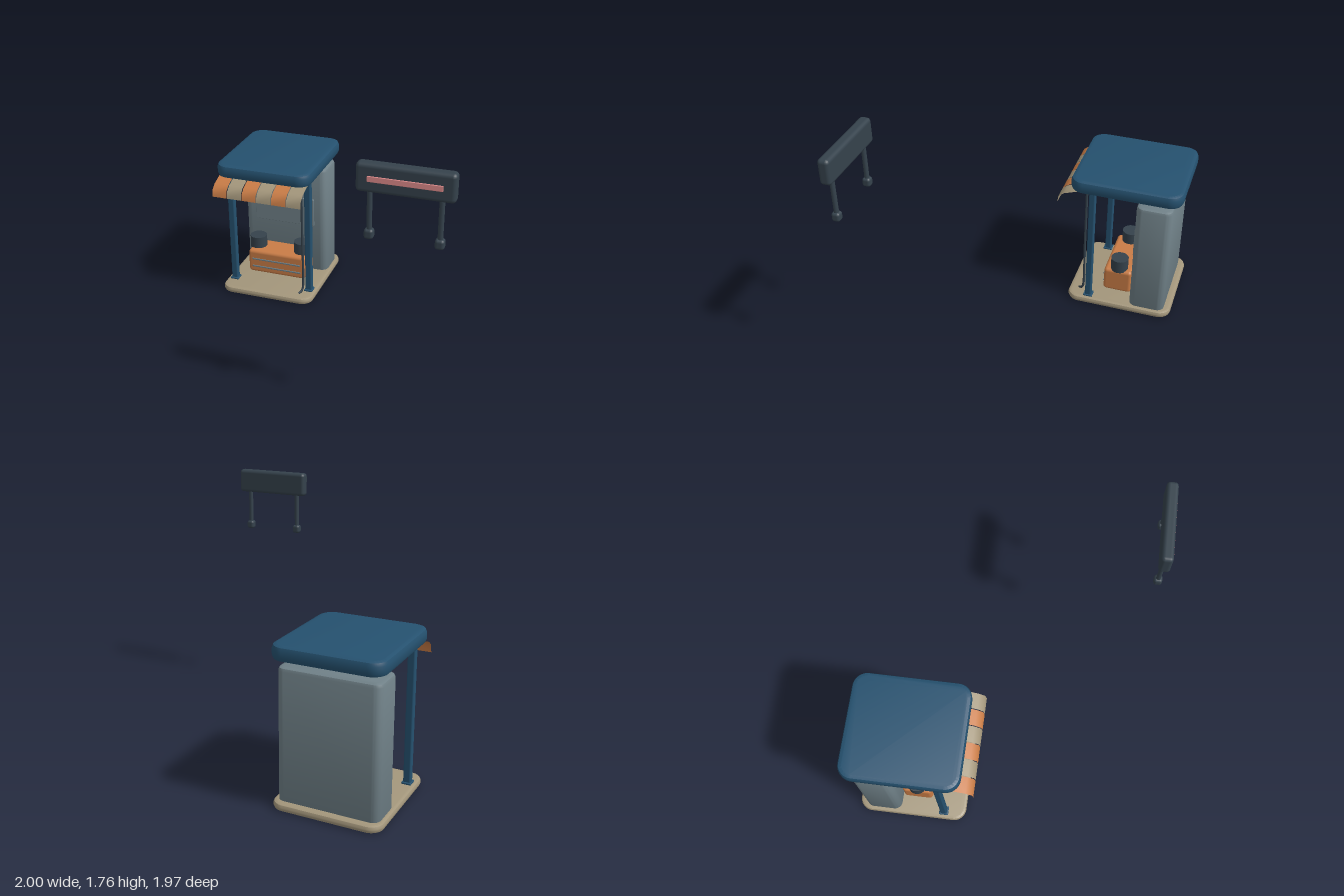
import * as THREE from 'three';
import { toCreasedNormals } from 'three/addons/utils/BufferGeometryUtils.js';
import { RoundedBoxGeometry } from 'three/addons/geometries/RoundedBoxGeometry.js';

function material(name, color, side = THREE.FrontSide) {
  const m = new THREE.MeshStandardMaterial({ color, side });
  m.name = name;
  return m;
}

// Rounded rectangle slab, given by its bounds, with softened top and bottom rims
function slab(x0, x1, y0, y1, z0, z1, corner, bevel) {
  const w = (x1 - x0) / 2 - bevel, d = (z1 - z0) / 2 - bevel, r = corner - bevel;
  const s = new THREE.Shape();
  s.moveTo(-w + r, -d);
  s.lineTo(w - r, -d);
  s.absarc(w - r, -d + r, r, -Math.PI / 2, 0);
  s.absarc(w - r, d - r, r, 0, Math.PI / 2);
  s.absarc(-w + r, d - r, r, Math.PI / 2, Math.PI);
  s.absarc(-w + r, -d + r, r, Math.PI, Math.PI * 1.5);
  const g = new THREE.ExtrudeGeometry(s, {
    depth: y1 - y0 - 2 * bevel, bevelThickness: bevel, bevelSize: bevel,
    bevelSegments: 2, curveSegments: 6,
  });
  g.rotateX(-Math.PI / 2);
  g.translate((x0 + x1) / 2, y0 + bevel, (z0 + z1) / 2);
  return toCreasedNormals(g, 0.7);
}

// Softened box, given by its bounds
function softBox(x0, x1, y0, y1, z0, z1, radius) {
  const g = new RoundedBoxGeometry(x1 - x0, y1 - y0, z1 - z0, 2, radius);
  return g.translate((x0 + x1) / 2, (y0 + y1) / 2, (z0 + z1) / 2);
}

function cylinder(x, y0, y1, z, r, sides = 20) {
  return new THREE.CylinderGeometry(r, r, y1 - y0, sides).translate(x, (y0 + y1) / 2, z);
}

export function createModel() {
  const blue = material('deep blue', 0x25516f);
  const grey = material('blue grey', 0x708188);
  const dark = material('dark slate', 0x35424c);
  const orange = material('orange', 0xc97c46);
  const sand = material('sand', 0xa3967b);
  const pink = material('pink', 0xe08c8c);
  const orangeCloth = material('orange cloth', 0xc97c46, THREE.DoubleSide);
  const sandCloth = material('sand cloth', 0xa3967b, THREE.DoubleSide);

  const model = new THREE.Group();
  const booth = new THREE.Group();
  booth.name = 'booth';
  const sign = new THREE.Group();
  sign.name = 'sign';
  model.add(booth, sign);
  const add = (parent, name, geometry, mat) => {
    const mesh = new THREE.Mesh(geometry, mat);
    mesh.name = name;
    parent.add(mesh);
    return mesh;
  };

  // Floor, roof and rear cabinet
  add(booth, 'floor', slab(-1, -0.27, 0, 0.05, -0.975, -0.19, 0.09, 0.02), sand);
  add(booth, 'roof', slab(-1, -0.27, 0.972, 1.07, -0.985, -0.185, 0.1, 0.028), blue);
  add(booth, 'cabinet', slab(-0.972, -0.298, 0.002, 0.92, -0.925, -0.665, 0.055, 0.025), grey);
  add(booth, 'cabinetPanel', softBox(-0.877, -0.395, 0.44, 0.665, -0.67, -0.653, 0.004), grey);

  // Front posts with foot plates, and ceiling lamps
  for (const side of [-1, 1]) {
    const x = -0.635 + side * 0.307;
    add(booth, 'post', softBox(x - 0.025, x + 0.025, 0.04, 0.98, -0.374, -0.328, 0.01), blue);
    add(booth, 'postFoot', softBox(x - 0.032, x + 0.032, 0.046, 0.062, -0.385, -0.317, 0.005), blue);
    const lampX = -0.635 + side * 0.225;
    add(booth, 'lampRing', cylinder(lampX, 0.964, 0.98, -0.38, 0.065, 24), dark);
    add(booth, 'lampDisc', cylinder(lampX, 0.96, 0.97, -0.38, 0.05, 24), sand);
  }

  // Cable hanging beside the left post and bending onto the floor
  const cable = new THREE.CatmullRomCurve3([
    [-0.36, 0.98, -0.3], [-0.36, 0.5, -0.3], [-0.36, 0.1, -0.3],
    [-0.365, 0.07, -0.29], [-0.385, 0.052, -0.265],
  ].map((p) => new THREE.Vector3(...p)), false, 'centripetal');
  add(booth, 'cable', new THREE.TubeGeometry(cable, 32, 0.009, 8), dark);

  // Curved awning in six alternating stripes
  const profile = [[0.98, -0.29], [0.967, -0.22], [0.943, -0.15], [0.91, -0.108], [0.858, -0.1]];
  const stripe = 0.688 / 6;
  for (let i = 0; i < 6; i++) {
    const g = new THREE.PlaneGeometry(stripe - 0.005, 1, 1, profile.length - 1);
    const p = g.attributes.position;
    for (let k = 0; k < p.count; k++) {
      const [y, z] = profile[Math.floor(k / 2)];
      p.setXYZ(k, p.getX(k) - 0.979 + (i + 0.5) * stripe, y, z);
    }
    g.computeVertexNormals();
    add(booth, 'awningStripe', g, i % 2 ? sandCloth : orangeCloth);
  }

  // Counter with front trims and two drums
  add(booth, 'counter', softBox(-0.87, -0.4, 0.07, 0.26, -0.655, -0.443, 0.025), orange);
  for (const y of [0.125, 0.188]) {
    add(booth, 'counterTrim', softBox(-0.835, -0.435, y - 0.006, y + 0.006, -0.446, -0.436, 0.002), grey);
  }
  for (const x of [-0.82, -0.455]) {
    add(booth, 'drum', cylinder(x, 0.25, 0.35, -0.55, 0.065, 20), dark);
  }

  // Sign board on two short legs
  add(sign, 'signBoard', softBox(0.435, 1, 1.582, 1.756, 0.898, 0.975, 0.025), dark);
  add(sign, 'signStrip', softBox(0.505, 0.928, 1.652, 1.686, 0.973, 0.982, 0.003), pink);
  for (const x of [0.512, 0.92]) {
    add(sign, 'signLeg', cylinder(x, 1.32, 1.6, 0.937, 0.016, 12), dark);
    add(sign, 'signFoot', softBox(x - 0.028, x + 0.028, 1.288, 1.35, 0.909, 0.965, 0.018), dark);
  }
  return model;
}
